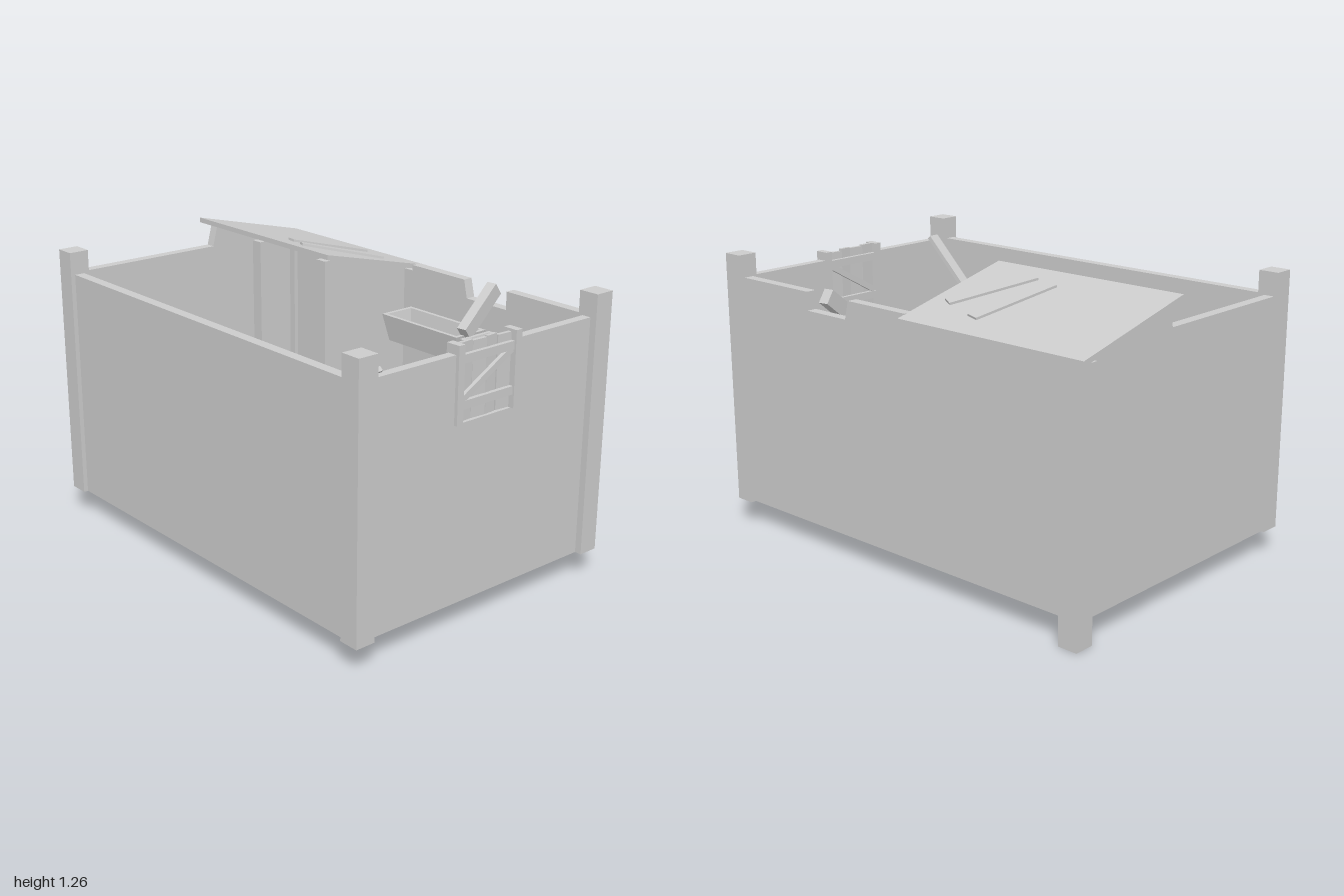
import * as THREE from 'three';

const material = new THREE.MeshStandardMaterial({ color: 0xcccccc, flatShading: true });

function add(parent, name, geometry) {
  const mesh = new THREE.Mesh(geometry, material);
  mesh.name = name;
  parent.add(mesh);
  return mesh;
}

// Box given by its limits along each axis; the underside can be left open
function block(parent, name, [x0, x1], [y0, y1], [z0, z1], openBottom = false) {
  const g = new THREE.BoxGeometry(x1 - x0, y1 - y0, z1 - z0);
  if (openBottom) {
    const i = Array.from(g.index.array);
    i.splice(18, 6);
    g.setIndex(i);
    g.clearGroups();
  }
  g.translate((x0 + x1) / 2, (y0 + y1) / 2, (z0 + z1) / 2);
  return add(parent, name, g);
}

// Flat panel cut from an outline in x and y, with thickness from z0 to z1
function panel(parent, name, points, z0, z1) {
  const shape = new THREE.Shape(points.map(([x, y]) => new THREE.Vector2(x, y)));
  const g = new THREE.ExtrudeGeometry(shape, { depth: z1 - z0, bevelEnabled: false });
  g.translate(0, 0, z0);
  return add(parent, name, g);
}

// Straight plank between two points; "up" sets the direction of its thickness
function plank(parent, name, from, to, width, thickness, up = [0, 1, 0]) {
  const a = new THREE.Vector3(...from), b = new THREE.Vector3(...to);
  const along = b.clone().sub(a);
  const length = along.length();
  along.normalize();
  const side = along.clone().cross(new THREE.Vector3(...up)).normalize();
  const normal = side.clone().cross(along);
  const g = new THREE.BoxGeometry(length, thickness, width);
  g.applyMatrix4(new THREE.Matrix4().makeBasis(along, normal, side));
  const mid = a.add(b).multiplyScalar(0.5);
  g.translate(mid.x, mid.y, mid.z);
  return add(parent, name, g);
}

// Tapered open trough from rectangular loops: outer bottom, outer rim, inner rim, inner bottom
function trough(parent, x, z, top) {
  const loops = [[0.065, 0.205, -0.12], [0.0875, 0.23, 0], [0.07, 0.213, 0], [0.052, 0.19, -0.1]];
  const corners = [[-1, 1], [1, 1], [1, -1], [-1, -1]];
  const pos = [], idx = [];
  for (const [w, d, y] of loops)
    for (const [sx, sz] of corners) pos.push(x + sx * w, top + y, z + sz * d);
  for (let l = 0; l < 3; l++)
    for (let k = 0; k < 4; k++) {
      const a = l * 4 + k, b = l * 4 + (k + 1) % 4;
      idx.push(a, b, b + 4, a, b + 4, a + 4);
    }
  idx.push(0, 2, 1, 0, 3, 2, 12, 13, 14, 12, 14, 15);
  const g = new THREE.BufferGeometry();
  g.setAttribute('position', new THREE.Float32BufferAttribute(pos, 3));
  g.setIndex(idx);
  g.computeVertexNormals();
  add(parent, 'trough', g);
}

export function createModel() {
  const model = new THREE.Group();
  model.name = 'animalPen';
  const BASE = 0.11, TOP = 1.135;
  const roofTop = x => 1.262 - 0.241 * (x - 0.09);
  const roofUnder = x => roofTop(x) - 0.022;

  // Corner posts; the one beneath the roof is shorter on top and reaches the ground
  block(model, 'frontRightPost', [-0.675, -0.585], [BASE, 1.235], [0.91, 1], true);
  block(model, 'frontLeftPost', [0.57, 0.66], [BASE, 1.235], [0.91, 1], true);
  block(model, 'backRightPost', [-0.675, -0.585], [BASE, 1.235], [-0.985, -0.895], true);
  block(model, 'backLeftPost', [0.57, 0.66], [0, 1.1], [-0.98, -0.89]);

  // Pen walls
  block(model, 'rightWall', [-0.655, -0.61], [BASE, TOP], [-0.9, 0.92]);
  panel(model, 'frontWall', [
    [-0.6, BASE], [0.6, BASE], [0.6, TOP], [0.14, TOP], [0.14, 0.86],
    [-0.155, 0.86], [-0.155, TOP], [-0.6, TOP],
  ], 0.93, 0.97);
  panel(model, 'backWall', [
    [-0.6, BASE], [0.6, BASE], [0.6, roofUnder(0.6)], [0.135, roofUnder(0.135)],
    [0.11, TOP], [-0.6, TOP],
  ], -0.97, -0.925);

  // Side wall with a broken notch, lowered beneath the roof
  const leftWall = panel(model, 'leftWall', [
    [-0.9, BASE], [0.92, BASE], [0.92, TOP], [0.5, TOP], [0.5, 1.055], [0.27, 1.055],
    [0.25, TOP], [-0.075, TOP], [-0.075, 1.11], [-0.9, 1.11],
  ], 0, 0.045);
  leftWall.geometry.rotateY(-Math.PI / 2);
  leftWall.geometry.translate(0.635, 0, 0);

  // Shelter: inner wall, two inner posts and a sloping roof
  const shelter = new THREE.Group();
  shelter.name = 'shelter';
  model.add(shelter);
  panel(shelter, 'shelterWall', [
    [0.14, BASE], [0.6, BASE], [0.6, roofUnder(0.6)], [0.14, roofUnder(0.14)],
  ], -0.155, -0.125);
  for (const z of [-0.14, -0.59])
    block(shelter, 'shelterPost', [0.11, 0.165], [BASE, roofUnder(0.165)], [z - 0.028, z + 0.028], true);
  panel(shelter, 'roof', [
    [0.09, roofUnder(0.09)], [0.67, roofUnder(0.67)], [0.67, roofTop(0.67)], [0.09, roofTop(0.09)],
  ], -1, -0.073);
  for (const [x0, z0, x1, z1] of [[0.17, -0.345, 0.485, -0.162], [0.205, -0.46, 0.555, -0.36]])
    plank(shelter, 'roofPlank', [x0, roofTop(x0) + 0.002, z0], [x1, roofTop(x1) + 0.002, z1],
      0.062, 0.016, [0.241, 1, 0]);

  // Feeding troughs
  trough(model, 0.458, 0.2, 0.96);
  trough(model, 0.458, 0.68, 0.96);

  // Loose planks: one across the notch, one leaning in the front corner
  plank(model, 'fallenPlank', [0.41, 0.97, 0.435], [0.615, 1.127, 0.405], 0.045, 0.065);
  plank(model, 'leaningPlank', [-0.585, 0.66, 0.49], [-0.54, 1.15, 0.94], 0.055, 0.02);

  // Gate with stiles, uneven boards, and rails and a brace on both faces
  const gate = new THREE.Group();
  gate.name = 'gate';
  model.add(gate);
  block(gate, 'stile', [-0.175, -0.143], [0.86, 1.173], [0.92, 0.985]);
  block(gate, 'stile', [0.128, 0.16], [0.86, 1.173], [0.92, 0.985]);
  const boards = [[-0.143, -0.077, 1.173, 0.06], [-0.075, -0.004, 1.168, -0.05],
    [-0.002, 0.05, 1.172, 0.07], [0.058, 0.126, 1.163, -0.06]];
  for (const [x0, x1, top, turn] of boards) {
    const board = block(gate, 'board', [x0 - (x0 + x1) / 2, x1 - (x0 + x1) / 2], [0.862, top], [-0.008, 0.008]);
    board.position.set((x0 + x1) / 2, 0, 0.951);
    board.rotation.y = turn;
  }
  for (const z of [0.934, 0.968]) {
    for (const y of [0.932, 1.113])
      block(gate, 'rail', [-0.145, 0.13], [y - 0.017, y + 0.017], [z - 0.009, z + 0.009]);
    plank(gate, 'brace', [-0.135, 0.955, z], [0.12, 1.1, z], 0.026, 0.016, [0, 0, 1]);
  }

  return model;
}
